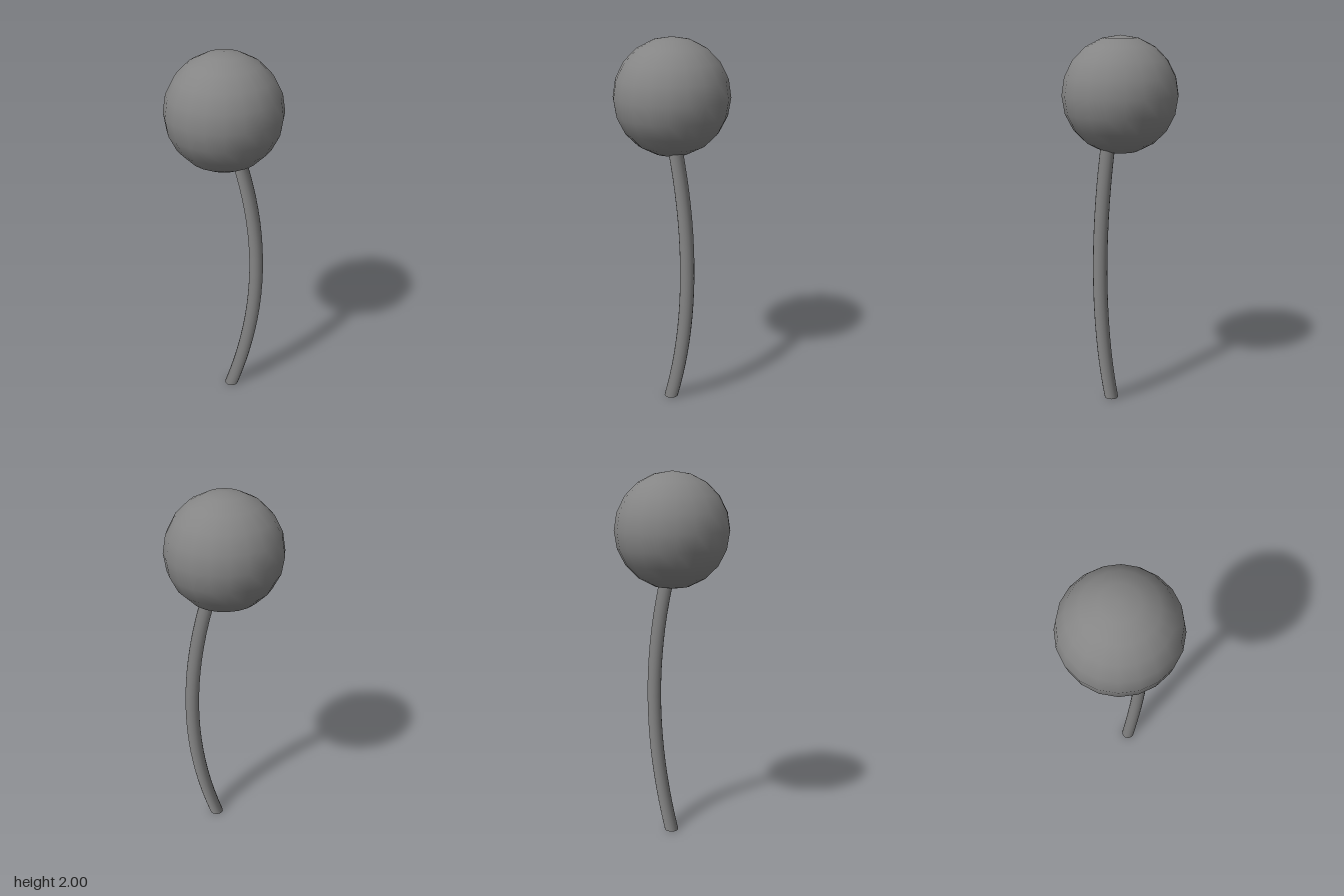
import * as THREE from 'three';

const material = new THREE.MeshStandardMaterial({ color: 0x858585, side: THREE.DoubleSide });
const RADIUS = 0.304;
const STEM_HEIGHT = 1.54;

// Round head, coarse enough to show a 20-sided outline
function makeHead() {
  const head = new THREE.Mesh(new THREE.SphereGeometry(RADIUS, 20, 10), material);
  head.name = 'head';
  head.position.y = 2 - RADIUS;
  return head;
}

// Bowed open tube: a cylinder whose level rings slide sideways along a parabola
function makeStem() {
  const geometry = new THREE.CylinderGeometry(0.038, 0.038, STEM_HEIGHT, 16, 20, true);
  geometry.translate(0, STEM_HEIGHT / 2, 0);
  const p = geometry.attributes.position;
  for (let i = 0; i < p.count; i++) {
    const t = p.getY(i) / STEM_HEIGHT;
    const bow = 4 * t * (1 - t);
    p.setX(i, p.getX(i) + 0.055 + 0.098 * bow);
    p.setZ(i, p.getZ(i) - 0.09 * bow);
  }
  const stem = new THREE.Mesh(geometry, material);
  stem.name = 'stem';
  return stem;
}

export function createModel() {
  const model = new THREE.Group();
  model.name = 'ballOnStem';
  model.add(makeHead(), makeStem());
  return model;
}
